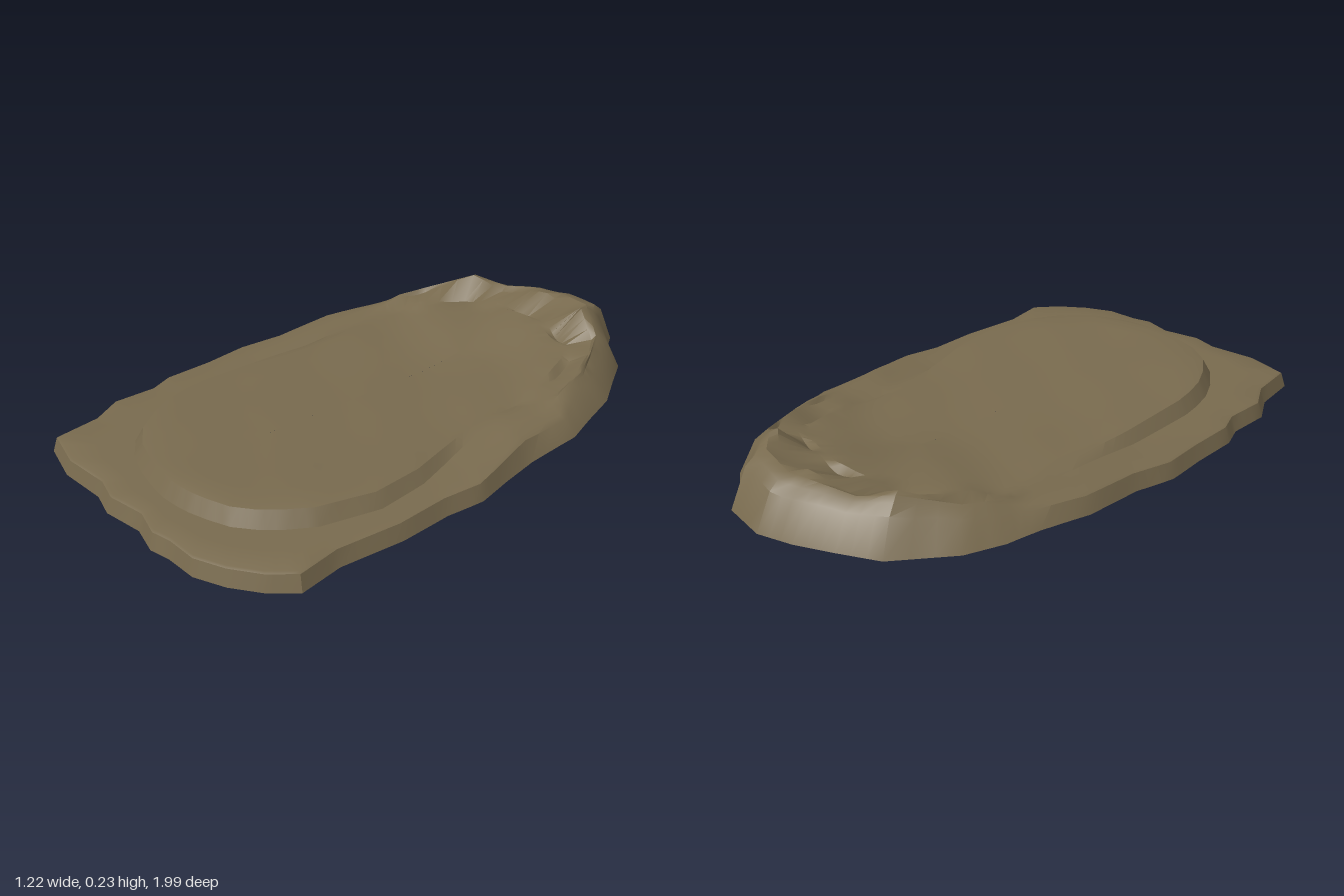
import * as THREE from 'three';
import { toCreasedNormals } from 'three/addons/utils/BufferGeometryUtils.js';

// Ground outline (x, z pairs), clockwise seen from above, starting at the back
const OUTLINE = [
  0.04, -1, 0.2, -0.98, 0.24, -0.92, 0.36, -0.84, 0.42, -0.74, 0.49, -0.63, 0.53, -0.5, 0.57, -0.38,
  0.57, -0.18, 0.585, -0.05, 0.605, 0.07, 0.585, 0.2, 0.59, 0.38, 0.565, 0.6, 0.585, 0.75, 0.52, 0.83,
  0.43, 0.9, 0.33, 0.95, 0.22, 0.96, 0.15, 0.98, 0.05, 0.96, -0.09, 0.99, -0.18, 0.97, -0.35, 0.99,
  -0.5, 0.96, -0.52, 0.8, -0.575, 0.7, -0.57, 0.55, -0.6, 0.47, -0.6, 0.3, -0.61, 0.15, -0.58, 0,
  -0.58, -0.22, -0.54, -0.4, -0.52, -0.52, -0.47, -0.65, -0.33, -0.83, -0.2, -0.9, -0.08, -0.96];

// Edge of the raised bed, one point for each outline point
const BED = [
  0.04, -0.72, 0.14, -0.7, 0.2, -0.68, 0.28, -0.66, 0.33, -0.6, 0.36, -0.5, 0.37, -0.4, 0.37, -0.3,
  0.36, -0.17, 0.38, -0.05, 0.41, 0.07, 0.445, 0.2, 0.46, 0.38, 0.41, 0.57, 0.36, 0.65, 0.31, 0.71,
  0.25, 0.76, 0.18, 0.79, 0.12, 0.81, 0.07, 0.82, 0.02, 0.825, -0.05, 0.82, -0.12, 0.81, -0.2, 0.79,
  -0.28, 0.74, -0.34, 0.66, -0.38, 0.58, -0.4, 0.5, -0.41, 0.43, -0.41, 0.3, -0.41, 0.15, -0.4, 0,
  -0.39, -0.2, -0.4, -0.38, -0.37, -0.45, -0.33, -0.52, -0.24, -0.64, -0.15, -0.68, -0.05, -0.71];

// Rim heights where they differ from the low front ledge
const RIM_RIGHT = [0.2, 0.215, 0.235, 0.185, 0.165, 0.15, 0.14, 0.11, 0.105, 0.085, 0.07, 0.065];
const RIM_LEFT = [0.065, 0.075, 0.09, 0.105, 0.135, 0.15, 0.2, 0.175, 0.195];
const COUNT = OUTLINE.length / 2;
const SUB = 3;

const { lerp, smoothstep, clamp } = THREE.MathUtils;
const rimHeight = i => RIM_RIGHT[i] ?? RIM_LEFT[i - (COUNT - RIM_LEFT.length)] ?? 0.062;
const baseHeight = z => 0.004 + 0.036 * (1 - smoothstep(z, -0.5, 0.25));
const bedHeight = z => 0.102 + 0.018 * smoothstep(z, -0.1, 0.7) + 0.05 * (1 - smoothstep(z, -0.75, -0.25));
const ripple = (x, z) => 0.5 * (Math.sin(13 * x + 7 * z) + Math.sin(17 * z - 9 * x + 1.3));

// One cross-section from the outer foot to the middle of the bed
function section(i, t) {
  const j = (i + 1) % COUNT;
  const at = (list, k) => lerp(list[2 * i + k], list[2 * j + k], t);
  const ox = at(OUTLINE, 0), oz = at(OUTLINE, 1), px = at(BED, 0), pz = at(BED, 1);
  const rim = lerp(rimHeight(i), rimHeight(j), t);
  const wild = smoothstep(rim, 0.07, 0.15);
  const length = Math.hypot(px - ox, pz - oz);
  const point = (f, y) => [lerp(ox, px, f), y, lerp(oz, pz, f)];
  const edge = (0.024 + 0.055 * wild) / length;
  const crest = lerp(1 - 0.03 / length, 0.6, wild);
  const bump = 0.012 * wild * Math.sin(i * 2.4 + t * 2.4);
  const rows = [
    point(0, baseHeight(oz)),
    point(edge * 0.75, rim * lerp(0.94, 0.8, wild) + bump * 0.5),
    point(edge * 1.15, rim * lerp(1, 0.93, wild) + bump * 0.3),
    point(lerp(edge, crest, 0.5) + 0.02, rim * lerp(1.03, 0.99, wild)),
    point(crest, Math.max(0.064, rim * lerp(1, 0.96, wild) - bump)),
    point(1, bedHeight(pz) - 0.004 + bump)];
  // Gently rippled bed running in to a spine
  const sz = clamp(pz, -0.4, 0.45);
  for (const f of [0.07, 0.25, 0.45, 0.7, 1]) {
    const x = lerp(px, 0, f), z = lerp(pz, sz, f);
    const rough = 0.003 + 0.008 * (1 - smoothstep(z, -0.65, 0));
    rows.push([x, bedHeight(z) - 0.005 * f + rough * ripple(x, z), z]);
  }
  return rows;
}

// Join closed rings of points into a surface
function skin(sections, flip) {
  const positions = [];
  const add = (a, b, c) => positions.push(...a, ...(flip ? c : b), ...(flip ? b : c));
  sections.forEach((s, i) => {
    const n = sections[(i + 1) % sections.length];
    for (let r = 0; r < s.length - 1; r++) {
      add(s[r], s[r + 1], n[r]);
      add(n[r], s[r + 1], n[r + 1]);
    }
  });
  const geometry = new THREE.BufferGeometry();
  geometry.setAttribute('position', new THREE.Float32BufferAttribute(positions, 3));
  return toCreasedNormals(geometry, 0.55);
}

export function createModel() {
  const earth = new THREE.MeshStandardMaterial({ color: 0x786a4e });
  earth.name = 'earth brown';
  const dark = new THREE.MeshStandardMaterial({ color: 0x050505 });
  dark.name = 'black';

  const sections = [];
  for (let i = 0; i < COUNT; i++) {
    for (let k = 0; k < SUB; k++) sections.push(section(i, k / SUB));
  }

  // Slab with ledge, raised bed and rugged back ridge
  const mound = new THREE.Mesh(skin(sections, false), earth);
  mound.name = 'mound';

  // Closed bottom, tilting up slightly to the back
  const bottom = sections.map(([[x, y, z]]) => [0, 0.33, 0.66, 1].map(f => {
    const bz = lerp(z, clamp(z, -0.5, 0.5), f);
    return [x * (1 - f), baseHeight(bz), bz];
  }));
  const underside = new THREE.Mesh(skin(bottom, true), dark);
  underside.name = 'underside';

  const group = new THREE.Group();
  group.name = 'earthMound';
  group.add(mound, underside);
  return group;
}
